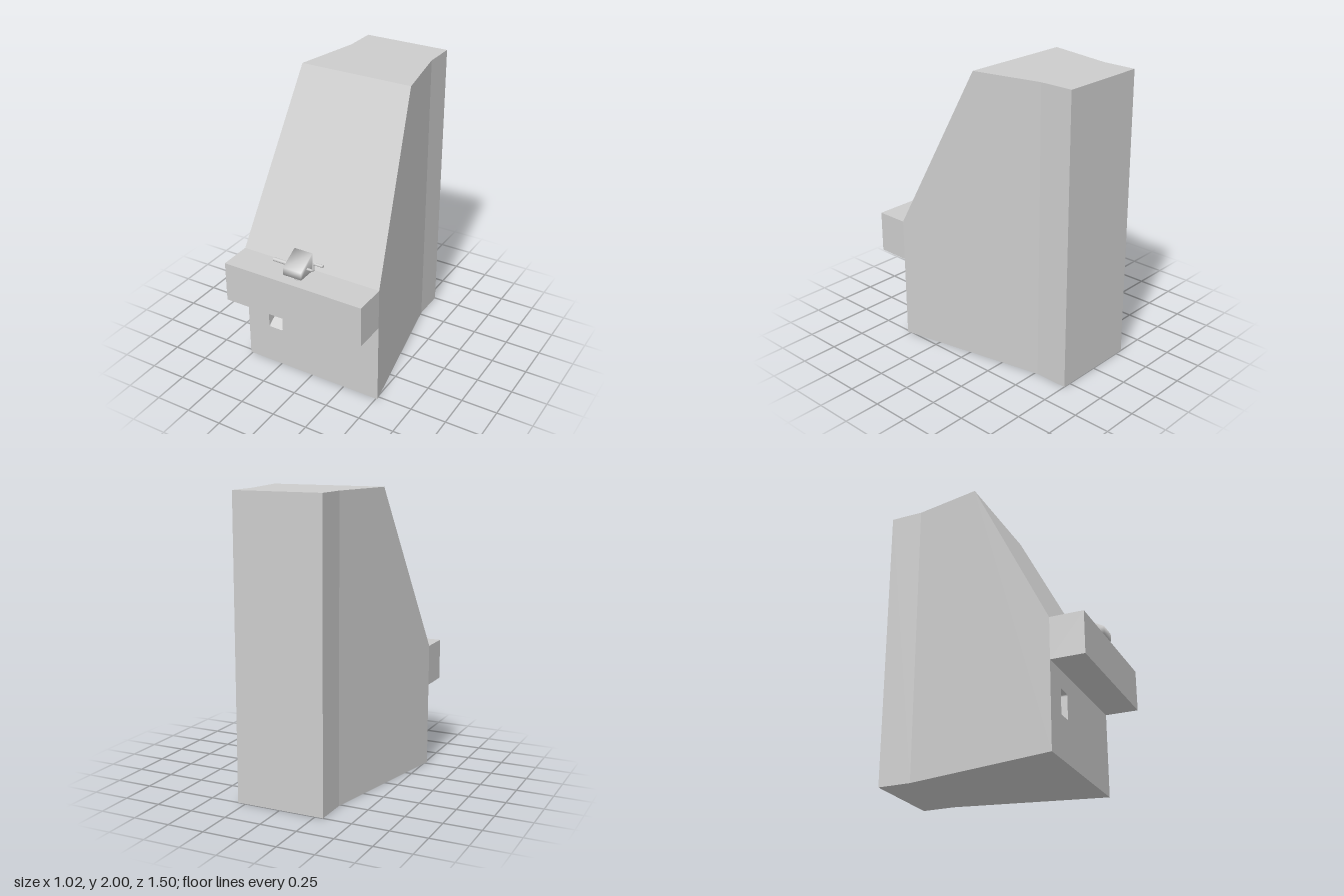
import * as THREE from 'three';
import { mergeVertices, toCreasedNormals } from 'three/addons/utils/BufferGeometryUtils.js';

const FRONT = 0.525, SHELF_TOP = 0.86, GUN_Z = 0.655;

function named(name, geometry) {
  const mesh = new THREE.Mesh(geometry, new THREE.MeshStandardMaterial({ color: 0xcccccc }));
  mesh.name = name;
  return mesh;
}

// Flat-shaded geometry from quads whose corners run counter-clockwise seen from outside
function fromQuads(quads) {
  const pos = [];
  for (const [a, b, c, d] of quads) pos.push(...a, ...b, ...c, ...a, ...c, ...d);
  const g = new THREE.BufferGeometry();
  g.setAttribute('position', new THREE.Float32BufferAttribute(pos, 3));
  g.computeVertexNormals();
  return g;
}

// Cabinet shell from cross-sections [z, half width, top]; the front is left open
function shellGeometry() {
  const sections = [[-0.75, 0.305, 2], [-0.52, 0.305, 2], [-0.05, 0.398, 2], [FRONT, 0.512, SHELF_TOP]]
    .map(([z, w, h]) => [[w, 0, z], [w, h, z], [-w, h, z], [-w, 0, z]]);
  const quads = [[...sections[0]].reverse()];
  for (let i = 0; i < sections.length - 1; i++) {
    const s = sections[i], t = sections[i + 1];
    for (let j = 0; j < 4; j++) {
      const k = (j + 1) % 4;
      quads.push([s[j], s[k], t[k], t[j]]);
    }
  }
  return fromQuads(quads);
}

function roundedRect(path, x0, y0, x1, y1, r) {
  path.moveTo(x0 + r, y0);
  path.lineTo(x1 - r, y0);
  path.quadraticCurveTo(x1, y0, x1, y0 + r);
  path.lineTo(x1, y1 - r);
  path.quadraticCurveTo(x1, y1, x1 - r, y1);
  path.lineTo(x0 + r, y1);
  path.quadraticCurveTo(x0, y1, x0, y1 - r);
  path.lineTo(x0, y0 + r);
  path.quadraticCurveTo(x0, y0, x0 + r, y0);
  return path;
}

function cylinderX(name, r, x0, x1, y) {
  const g = new THREE.CylinderGeometry(r, r, x1 - x0, 20).rotateZ(Math.PI / 2);
  return named(name, g.translate((x0 + x1) / 2, y, GUN_Z));
}

export function createModel() {
  const model = new THREE.Group();
  model.name = 'arcadeCabinet';

  model.add(named('cabinetShell', shellGeometry()));

  // Lower front panel with the opening of the return chute
  const panel = new THREE.Shape([[-0.512, 0], [0.512, 0], [0.512, SHELF_TOP], [-0.512, SHELF_TOP]]
    .map(([x, y]) => new THREE.Vector2(x, y)));
  const bottom = 0.285;
  const opening = roundedRect(new THREE.Shape(), -0.343, bottom, -0.233, 0.455, 0.012);
  panel.holes.push(opening);
  model.add(named('frontPanel', new THREE.ShapeGeometry(panel, 4).translate(0, 0, FRONT)));

  // Chute: a ramp rising towards the back, closed in by walls
  const depthAt = y => FRONT - (y - bottom) * 1.5;
  const ramp = new THREE.ShapeGeometry(opening, 4);
  const rp = ramp.attributes.position;
  for (let i = 0; i < rp.count; i++) rp.setZ(i, depthAt(rp.getY(i)));
  ramp.computeVertexNormals();
  model.add(named('chuteRamp', ramp));
  const outline = opening.getPoints(4);
  const walls = outline.slice(1).map((b, i) => {
    const a = outline[i];
    return [[a.x, a.y, FRONT], [b.x, b.y, FRONT], [b.x, b.y, depthAt(b.y)], [a.x, a.y, depthAt(a.y)]];
  });
  model.add(named('chuteWalls', fromQuads(walls)));

  // Control shelf
  model.add(named('controlShelf', new THREE.BoxGeometry(1.024, 0.283, 0.225)
    .translate(0, SHELF_TOP - 0.1415, FRONT + 0.1125)));

  // Swivel control on the shelf
  const control = new THREE.Group();
  control.name = 'swivelControl';
  control.add(named('post', new THREE.CylinderGeometry(0.03, 0.03, 0.06, 24).translate(0, SHELF_TOP + 0.03, GUN_Z)));

  // Wedge head with softly shared normals
  let head = new THREE.BoxGeometry(0.134, 0.128, 0.136).translate(-0.001, 0.967, 0.66);
  const hp = head.attributes.position;
  for (let i = 0; i < hp.count; i++) if (hp.getY(i) > 1 && hp.getZ(i) > 0.7) hp.setY(i, 0.957);
  head.deleteAttribute('uv');
  head.deleteAttribute('normal');
  head = mergeVertices(head);
  head.computeVertexNormals();
  control.add(named('head', head));

  // Straight handle on one side, crank on the other
  control.add(cylinderX('handle', 0.013, -0.187, -0.06, 0.944));
  const v = (x, y) => new THREE.Vector3(x, y, GUN_Z);
  const path = new THREE.CurvePath();
  path.add(new THREE.LineCurve3(v(0.06, 0.948), v(0.095, 0.948)));
  path.add(new THREE.QuadraticBezierCurve3(v(0.095, 0.948), v(0.112, 0.948), v(0.112, 0.963)));
  path.add(new THREE.LineCurve3(v(0.112, 0.963), v(0.112, 0.989)));
  path.add(new THREE.QuadraticBezierCurve3(v(0.112, 0.989), v(0.112, 1.004), v(0.128, 1.004)));
  path.add(new THREE.LineCurve3(v(0.128, 1.004), v(0.15, 1.004)));
  control.add(named('crank', toCreasedNormals(new THREE.TubeGeometry(path, 40, 0.008, 12), 0.8)));
  control.add(cylinderX('crankGrip', 0.009, 0.125, 0.185, 1.004));
  model.add(control);

  return model;
}
